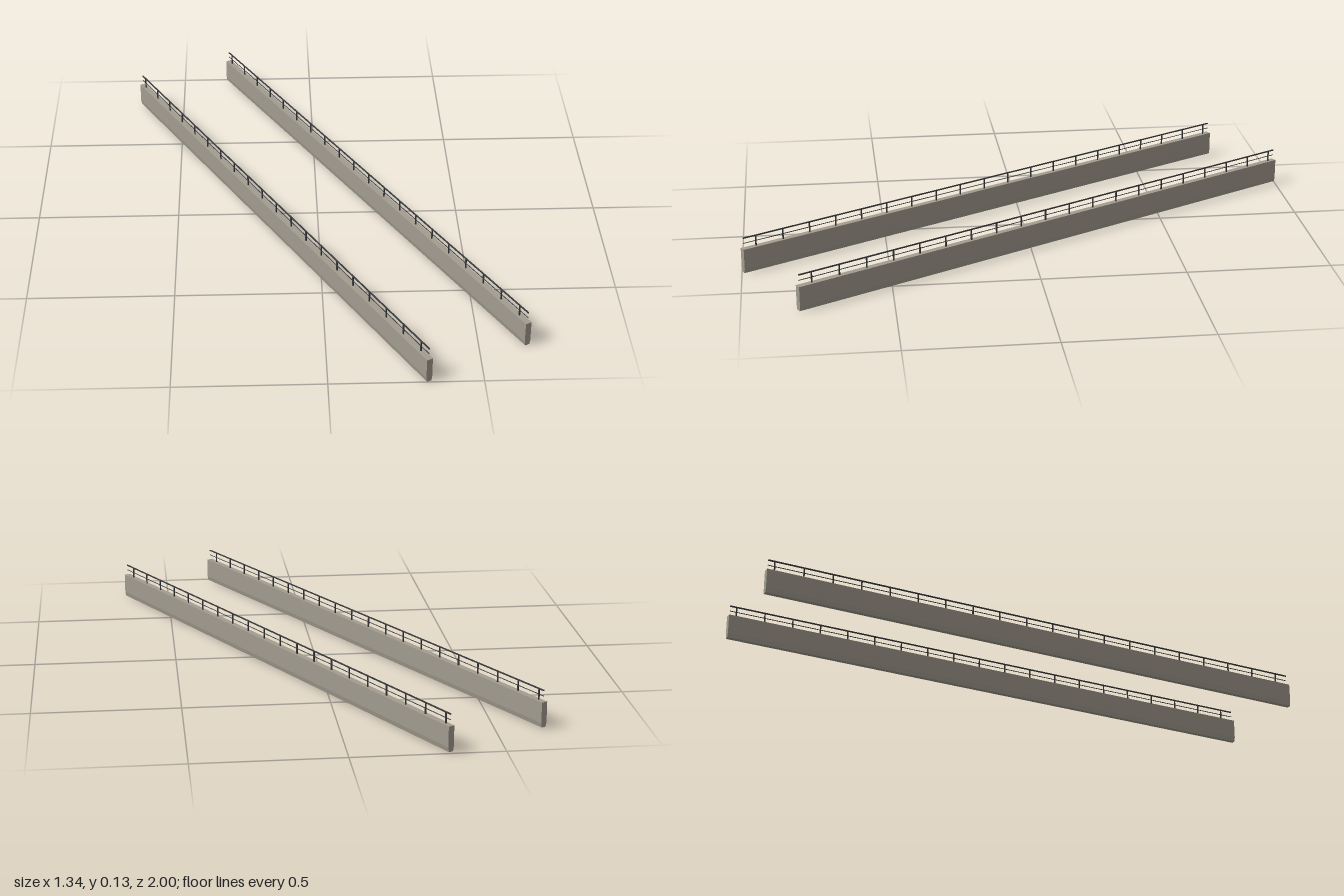
import * as THREE from 'three';

const ANGLE = Math.atan2(0.477, 0.878); // heading of both walls
const HALF = 1.029;                     // half length of a wall
const WIDTH = 0.022;
const TOP = 0.086;

const stone = new THREE.MeshStandardMaterial({ color: 0xa39d90, flatShading: true });
const steel = new THREE.MeshStandardMaterial({ color: 0x3a3c3e, flatShading: true });

function part(name, geometry, material, x, y, z) {
  const mesh = new THREE.Mesh(geometry, material);
  mesh.name = name;
  mesh.position.set(x, y, z);
  return mesh;
}

// Wall cross-section with slightly chamfered lower edges, run along z
function wallGeometry() {
  const w = WIDTH / 2, c = 0.003;
  const section = new THREE.Shape([
    [-w + c, 0], [w - c, 0], [w, 0.016], [w, TOP], [-w, TOP], [-w, 0.016],
  ].map(([x, y]) => new THREE.Vector2(x, y)));
  return new THREE.ExtrudeGeometry(section, { depth: HALF * 2, bevelEnabled: false })
    .translate(0, 0, -HALF);
}

function parapet(name) {
  const group = new THREE.Group();
  group.name = name;
  group.add(part('wall', wallGeometry(), stone, 0, 0, 0));

  // Handrail and thinner middle rail
  const length = HALF * 2 - 0.01;
  group.add(part('topRail', new THREE.BoxGeometry(0.004, 0.004, length), steel, 0, 0.124, 0));
  group.add(part('middleRail', new THREE.BoxGeometry(0.002, 0.002, length), steel, 0, 0.105, 0));

  // Evenly spaced posts standing on the wall
  const post = new THREE.BoxGeometry(0.004, 0.124 - TOP, 0.004);
  for (let i = 0; i < 20; i++) {
    group.add(part('railPost', post, steel, 0, (TOP + 0.124) / 2, -1.0 + i * 0.104));
  }
  return group;
}

export function createModel() {
  const model = new THREE.Group();
  model.name = 'bridgeParapets';
  // Two parallel parapets, dropping very slightly toward the front
  for (const side of [-1, 1]) {
    const p = parapet(side < 0 ? 'rightParapet' : 'leftParapet');
    p.rotation.order = 'YXZ';
    p.rotation.set(0.002, ANGLE, 0);
    p.position.set(side * 0.168, 0.0021, side * -0.091);
    model.add(p);
  }
  return model;
}
